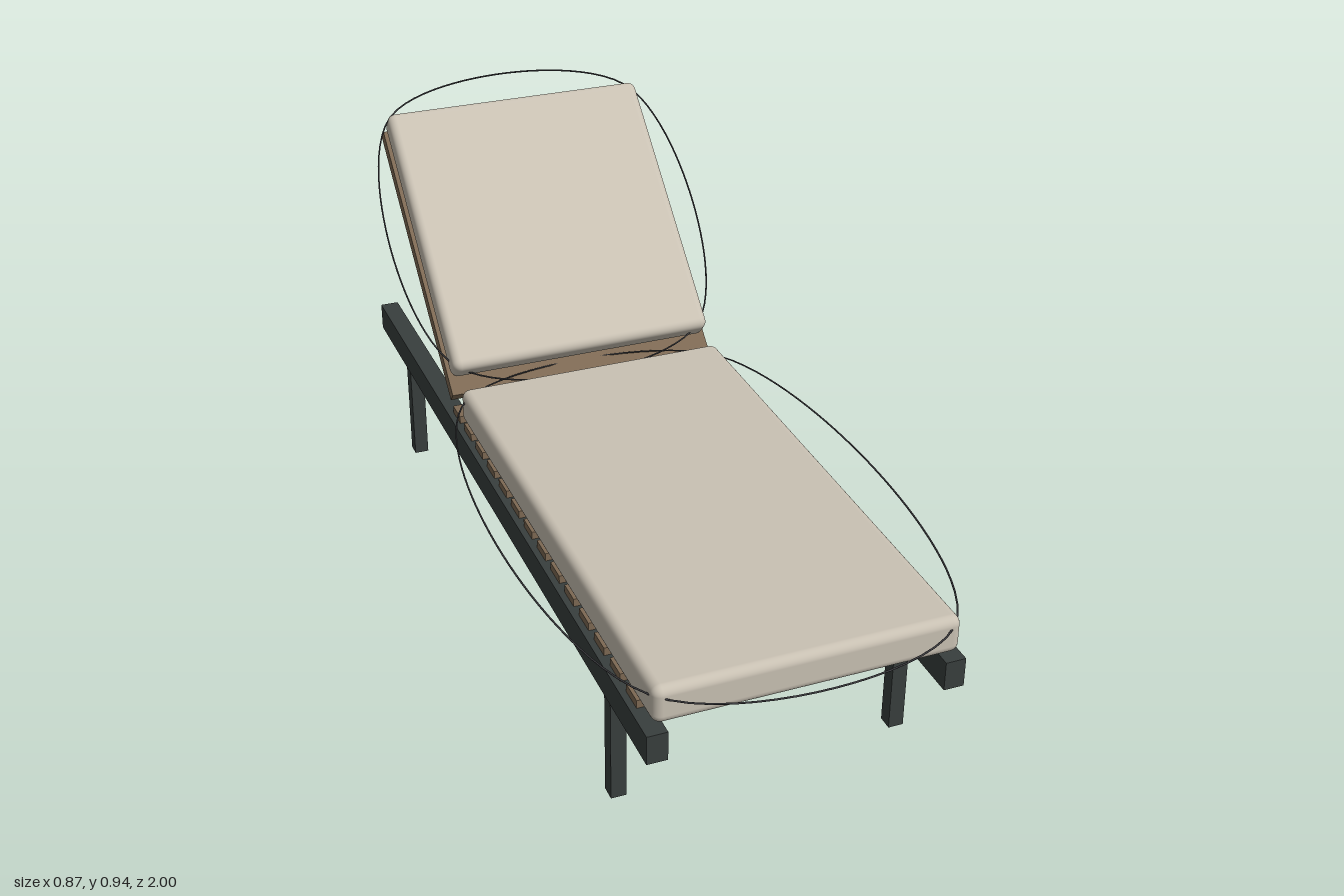
import * as THREE from 'three';
import { RoundedBoxGeometry } from 'three/addons/geometries/RoundedBoxGeometry.js';

const metal = new THREE.MeshStandardMaterial({ color: 0x383e3d });
const wood = new THREE.MeshStandardMaterial({ color: 0x7d6953 });
const fabric = new THREE.MeshStandardMaterial({ color: 0xc9c1b3 });
const cord = new THREE.MeshStandardMaterial({ color: 0x3c3c40 });

function add(parent, name, geometry, material, x, y, z) {
  const mesh = new THREE.Mesh(geometry, material);
  mesh.name = name;
  mesh.position.set(x, y, z);
  parent.add(mesh);
  return mesh;
}

const box = (w, h, d) => new THREE.BoxGeometry(w, h, d);
const cushion = (w, h, d) => new RoundedBoxGeometry(w, h, d, 4, 0.02);

// Thin cord: a closed spline through four corners, bulging past the cushion edges
function piping(halfWidth, halfLength) {
  const corners = [[-1, -1], [1, -1], [1, 1], [-1, 1]].map(
    ([x, z]) => new THREE.Vector3(x * halfWidth, 0, z * halfLength));
  const curve = new THREE.CatmullRomCurve3(corners, true);
  return new THREE.TubeGeometry(curve, 96, 0.002, 6, true);
}

export function createModel() {
  const lounger = new THREE.Group();
  lounger.name = 'sunLounger';

  // Side rails with two legs each
  for (const side of [-1, 1]) {
    const label = side > 0 ? 'left' : 'right';
    add(lounger, label + 'Rail', box(0.044, 0.066, 1.92), metal, side * 0.315, 0.284, -0.04);
    add(lounger, label + 'FrontLeg', box(0.034, 0.252, 0.034), metal, side * 0.314, 0.126, 0.693);
    add(lounger, label + 'BackLeg', box(0.034, 0.252, 0.034), metal, side * 0.314, 0.126, -0.767);
  }

  // Cross slats under the seat
  for (let i = 0; i < 14; i++) {
    add(lounger, 'slat', box(0.646, 0.028, 0.056), wood, 0, 0.321, 0.805 - i * 0.089);
  }

  // Seat cushion
  add(lounger, 'seatCushion', cushion(0.646, 0.084, 1.23), fabric, 0, 0.377, 0.305);
  add(lounger, 'seatPiping', piping(0.308, 0.605), cord, 0, 0.395, 0.307);

  // Raised backrest, hinged at its lower edge
  const backrest = new THREE.Group();
  backrest.name = 'backrest';
  backrest.position.set(0, 0.352, -0.38);
  backrest.rotation.x = THREE.MathUtils.degToRad(42);
  lounger.add(backrest);
  add(backrest, 'backPanel', box(0.656, 0.03, 0.704), wood, 0, 0.015, -0.352);
  add(backrest, 'backCushion', cushion(0.646, 0.066, 0.682), fabric, 0, 0.063, -0.381);
  add(backrest, 'backPiping', piping(0.31, 0.332), cord, 0, 0.06, -0.394);

  return lounger;
}
